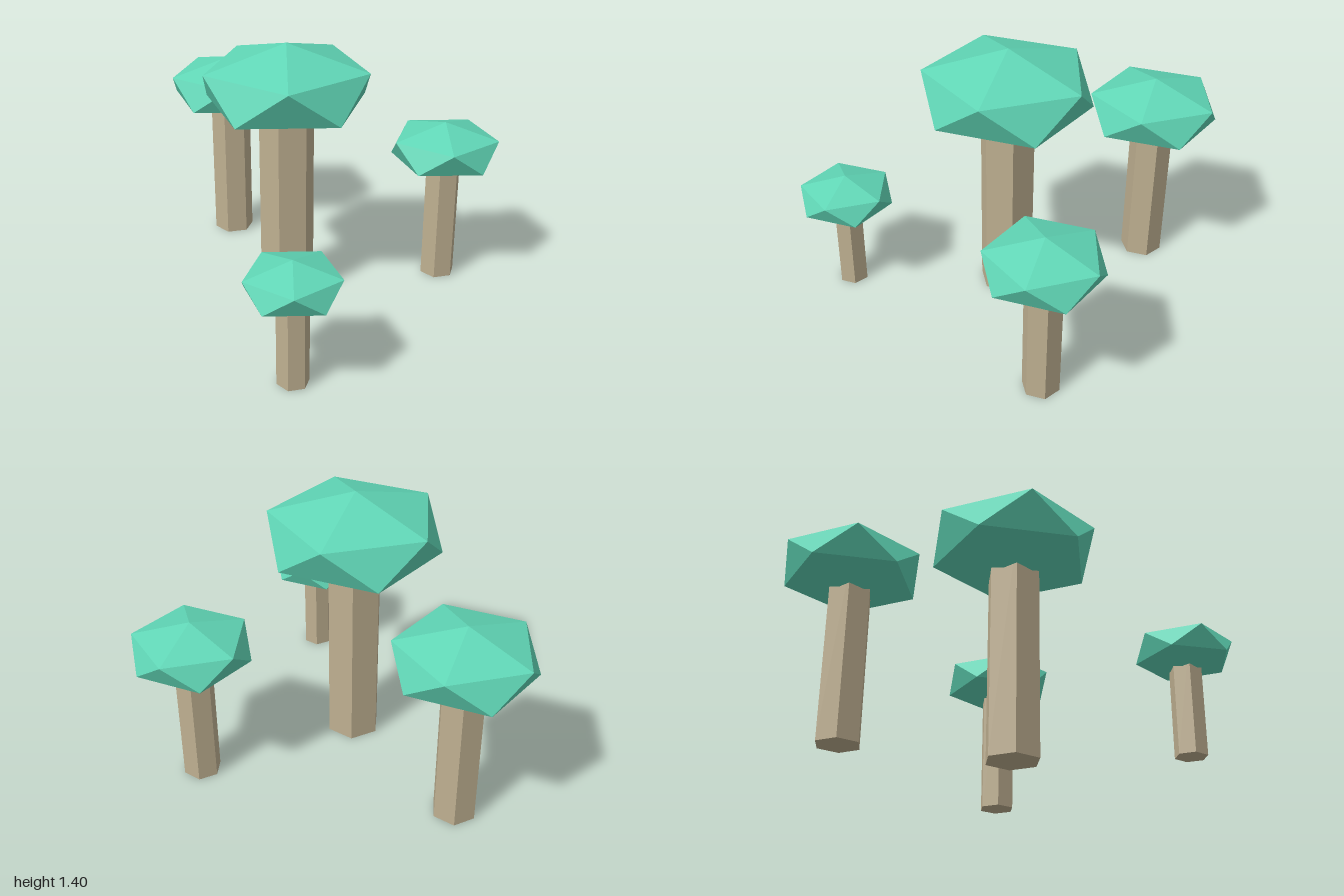
import * as THREE from 'three';
import { ConvexGeometry } from 'three/addons/geometries/ConvexGeometry.js';

const leafGreen = new THREE.MeshStandardMaterial({ name: 'leafGreen', color: 0x60d6b6, flatShading: true });
const barkTan = new THREE.MeshStandardMaterial({ name: 'barkTan', color: 0xbfb091, flatShading: true });

// Flattened 20-sided crown: two staggered pentagon rings between two tips
function crownGeometry(radius, halfHeight) {
  const ringY = halfHeight / Math.sqrt(5);
  const points = [new THREE.Vector3(0, halfHeight, 0), new THREE.Vector3(0, -halfHeight, 0)];
  for (let i = 0; i < 5; i++) {
    const a = (i / 5) * Math.PI * 2;
    const x = radius * Math.cos(a), z = radius * Math.sin(a);
    points.push(new THREE.Vector3(x, ringY, z), new THREE.Vector3(-x, -ringY, -z));
  }
  return new ConvexGeometry(points);
}

function createTree({ name, x, z, crownY, crownRadius, crownHalf, trunkRadius }) {
  const tree = new THREE.Group();
  tree.name = name;
  tree.position.set(x, 0, z);

  // Six-sided trunk, ending inside the crown
  const trunk = new THREE.Mesh(new THREE.CylinderGeometry(trunkRadius, trunkRadius, crownY, 6), barkTan);
  trunk.name = 'trunk';
  trunk.position.y = crownY / 2;

  const crown = new THREE.Mesh(crownGeometry(crownRadius, crownHalf), leafGreen);
  crown.name = 'crown';
  crown.position.y = crownY;

  tree.add(trunk, crown);
  return tree;
}

export function createModel() {
  const group = new THREE.Group();
  group.name = 'treeGrove';
  const trees = [
    { name: 'tallTree', x: -0.086, z: -0.037, crownY: 1.182, crownRadius: 0.43, crownHalf: 0.218, trunkRadius: 0.144 },
    { name: 'backRightTree', x: -0.622, z: -0.68, crownY: 0.915, crownRadius: 0.337, crownHalf: 0.167, trunkRadius: 0.113 },
    { name: 'backLeftTree', x: 0.668, z: -0.467, crownY: 0.755, crownRadius: 0.287, crownHalf: 0.143, trunkRadius: 0.096 },
    { name: 'smallFrontTree', x: 0.183, z: 0.772, crownY: 0.54, crownRadius: 0.239, crownHalf: 0.118, trunkRadius: 0.081 },
  ];
  for (const t of trees) group.add(createTree(t));
  return group;
}
